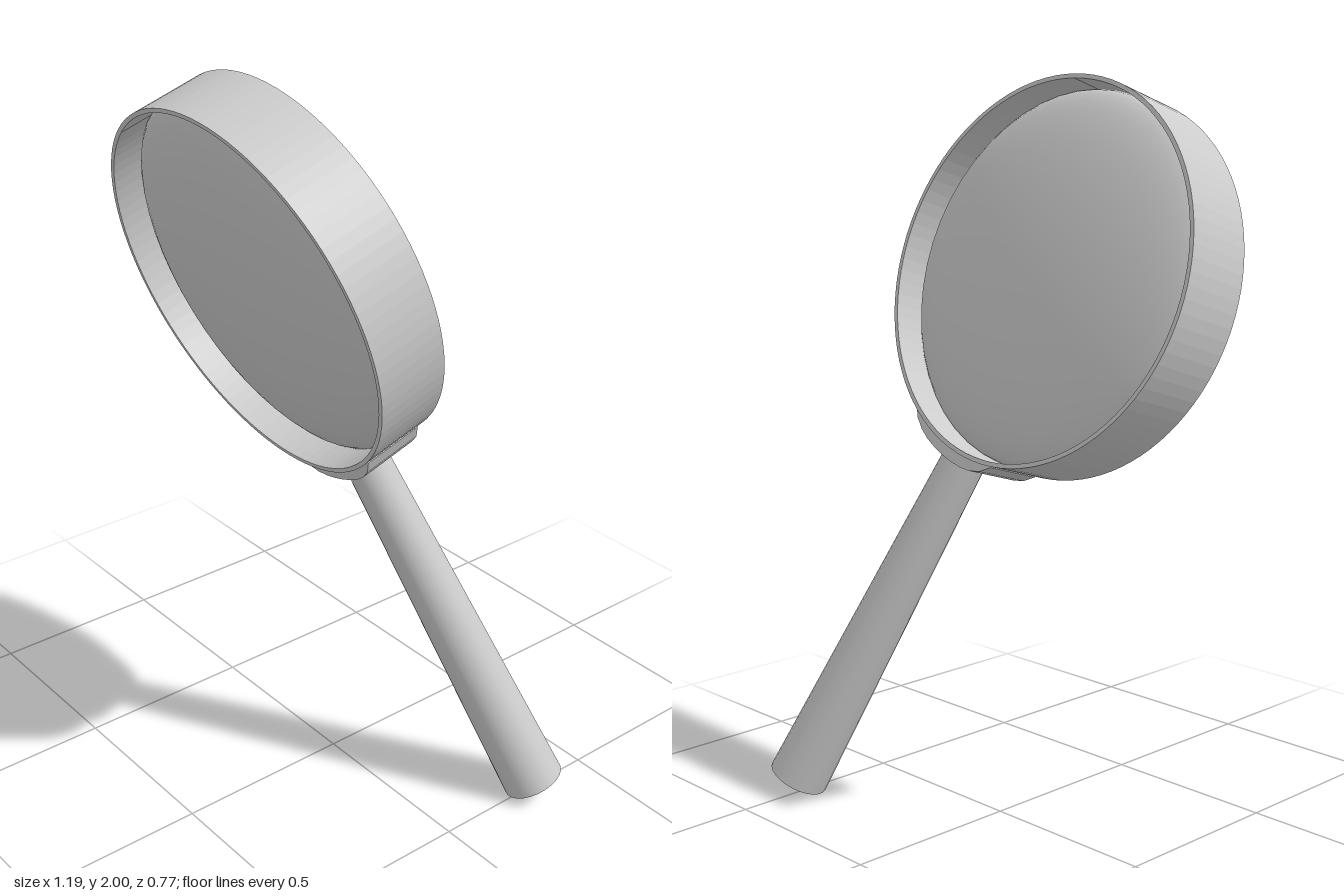
import * as THREE from 'three';

export function createModel() {
  const root = new THREE.Group();
  root.name = 'magnifyingGlass';
  const grey = new THREE.MeshStandardMaterial({ color: 0xcccccc });
  const add = (name, geometry, parent) => {
    const mesh = new THREE.Mesh(geometry, grey);
    mesh.name = name;
    parent.add(mesh);
    return mesh;
  };

  // Whole glass leans forward; its local z is the lens axis
  const glass = new THREE.Group();
  glass.name = 'glass';
  glass.position.set(-0.08, 1.47, 0.137);
  glass.rotation.x = 0.298;
  root.add(glass);

  // Thin cylindrical rim
  const R = 0.52, inner = 0.508, half = 0.102;
  const circle = (r) => new THREE.Path().absarc(0, 0, r, 0, Math.PI * 2, false);
  const rimShape = new THREE.Shape().absarc(0, 0, R, 0, Math.PI * 2, false);
  rimShape.holes.push(circle(inner));
  add('rim', new THREE.ExtrudeGeometry(rimShape, {
    depth: half * 2, bevelEnabled: false, curveSegments: 48,
  }).translate(0, 0, -half), glass);

  // Bulging lens, a flattened ball filling the rim
  add('lens', new THREE.SphereGeometry(0.51, 48, 24).rotateX(Math.PI / 2).scale(1, 1, 0.1 / 0.51), glass);

  // Grip assembly, hanging along local -y
  const grip = new THREE.Group();
  grip.name = 'grip';
  grip.rotation.z = 0.378;
  glass.add(grip);

  // Crescent collar hugging the rim
  const span = 0.35;
  const at = (a, r) => new THREE.Vector2(Math.sin(a) * r, -Math.cos(a) * r);
  const points = [];
  for (let i = 0; i <= 10; i++) {
    const t = i / 5 - 1;
    points.push(at(t * span, 0.522 + 0.032 * (1 - t ** 4)));
  }
  for (let i = 10; i >= 0; i--) points.push(at((i / 5 - 1) * span, 0.512));
  add('collar', new THREE.ExtrudeGeometry(new THREE.Shape(points), {
    depth: 0.17, bevelEnabled: false,
  }).translate(0, 0, -0.085), grip);

  // Handle widening towards its flat end
  const top = 0.53, bottom = 1.61;
  add('handle', new THREE.CylinderGeometry(0.06, 0.085, bottom - top, 24)
    .translate(0, -(top + bottom) / 2, 0), grip);

  return root;
}
